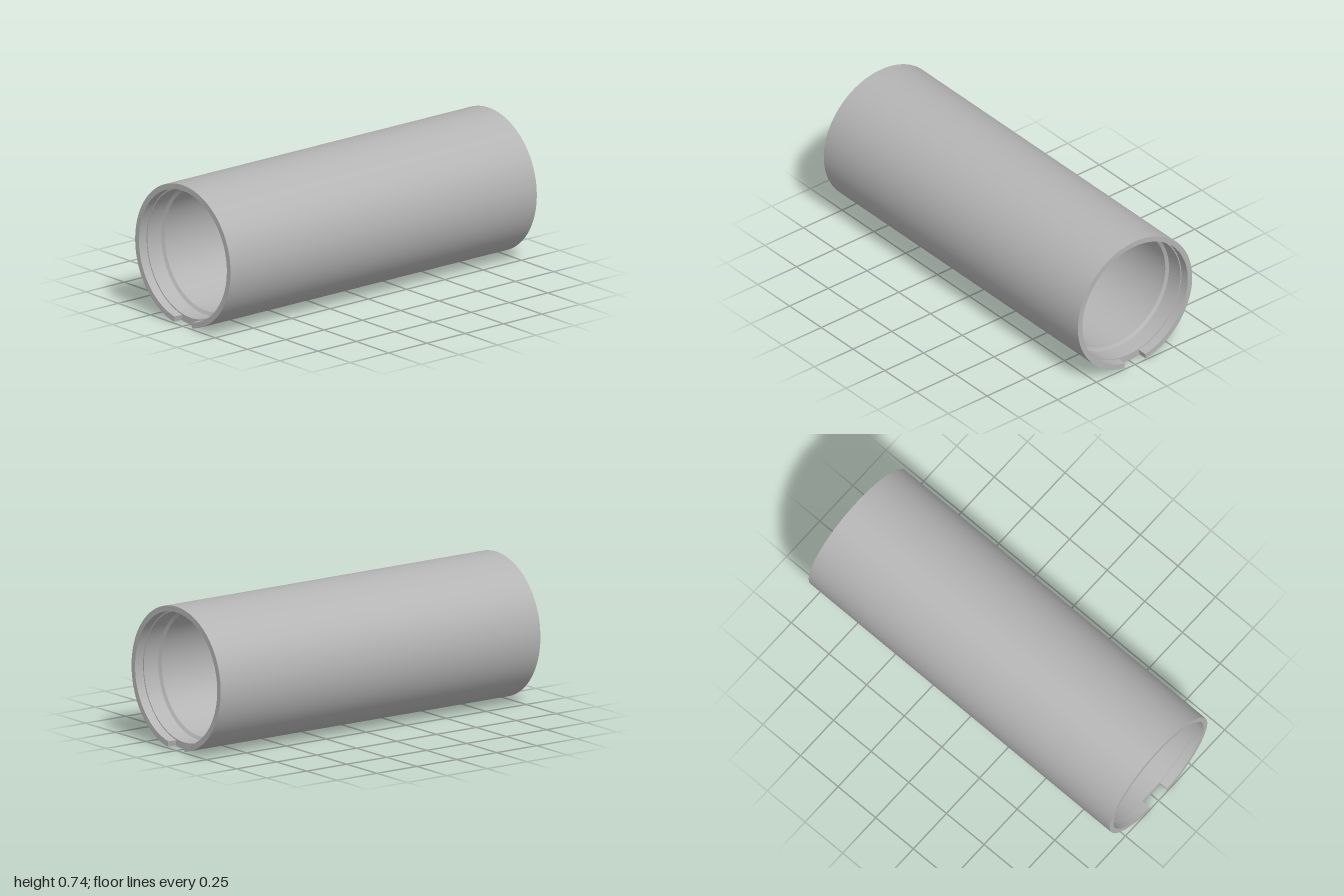
import * as THREE from 'three';
import { toCreasedNormals } from 'three/addons/utils/BufferGeometryUtils.js';

const R = 0.369;              // outer radius
const LIP = 0.34;             // bore radius at the rims
const SEAT = 0.334;           // counterbore radius
const BORE = 0.318;           // main bore radius
const NOTCH_X = 0.95;         // inner end of the notches
const NOTCH_ANGLE = Math.asin(0.07 / R);

export function createModel() {
  const model = new THREE.Group();
  const grey = new THREE.MeshStandardMaterial({ color: 0xb4b4b4 });
  grey.name = 'grey';

  const add = (name, geometry) => {
    const mesh = new THREE.Mesh(geometry, grey);
    mesh.name = name;
    model.add(mesh);
    return mesh;
  };

  // Closed wall section [radius, axial], mirrored end to end, swept over an arc
  const wallArc = (halfSection, segments, start, length) => {
    const mirrored = halfSection.map(([r, x]) => [r, -x]).reverse();
    const loop = [[R, mirrored[mirrored.length - 1][1]], ...halfSection, ...mirrored];
    const points = loop.map(([r, x]) => new THREE.Vector2(r, x));
    const lathe = new THREE.LatheGeometry(points, segments, start, length);
    lathe.rotateZ(-Math.PI / 2);
    return toCreasedNormals(lathe, 0.5);
  };

  // Main wall: full length, everything except the strip between the notches
  add('tubeWall', wallArc(
    [[R, 1], [LIP, 1], [LIP, NOTCH_X], [SEAT, NOTCH_X], [SEAT, 0.86], [BORE, 0.85]],
    96, Math.PI / 2 + NOTCH_ANGLE, 2 * (Math.PI - NOTCH_ANGLE)));

  // Bottom strip: shorter, leaving a notch at each end
  add('bottomStrip', wallArc(
    [[R, NOTCH_X], [SEAT, NOTCH_X], [SEAT, 0.86], [BORE, 0.85]],
    8, Math.PI / 2 - NOTCH_ANGLE, 2 * NOTCH_ANGLE));

  // Side walls of the notches, facing into the gap
  for (const end of [-1, 1]) {
    for (const side of [-1, 1]) {
      const wall = new THREE.PlaneGeometry(1 - NOTCH_X, R - LIP);
      if (side > 0) wall.rotateY(Math.PI);
      wall.translate(end * (1 + NOTCH_X) / 2, -(R + LIP) / 2, 0);
      wall.rotateX(-side * NOTCH_ANGLE);
      add('notchWall', wall);
    }
  }

  model.position.y = R;
  const root = new THREE.Group();
  root.name = 'notchedTube';
  model.name = 'tube';
  root.add(model);
  return root;
}
